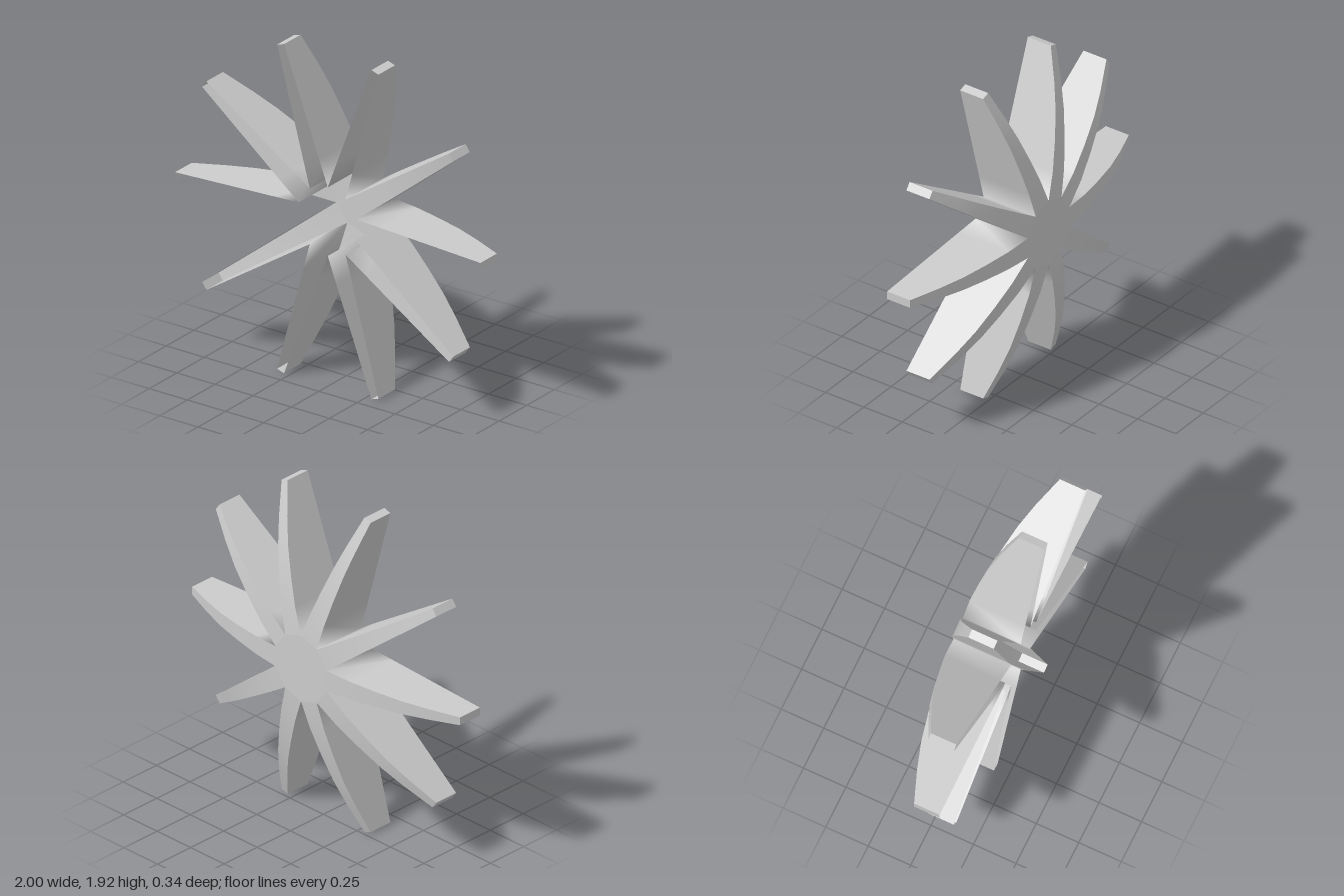
import * as THREE from 'three';

const SPOKES = 10, STEP = (Math.PI * 2) / SPOKES;
const CENTRE_Y = 0.958, FRONT_Z = 0.17;
// Spoke side profile: radius and depth of the domed back face, hub to tip
const PROFILE = [[0.19, -0.17], [0.35, -0.157], [0.51, -0.13], [0.67, -0.095], [0.82, -0.048], [1, 0.02]];
const ROOT = PROFILE[0][0], HALF_ROOT = ROOT * Math.tan(STEP / 2), HALF_TIP = 0.024;

const halfWidth = (r) => HALF_ROOT + ((HALF_TIP - HALF_ROOT) * (r - ROOT)) / (1 - ROOT);

// Point on spoke k at radius r, on its left (+1) or right (-1) edge
function edgePoint(k, r, side, z) {
  const a = k * STEP, h = side * halfWidth(r);
  return [r * Math.cos(a) - h * Math.sin(a), r * Math.sin(a) + h * Math.cos(a), z];
}

// Ribbon of quads between two rows of points
function ribbon(rowA, rowB) {
  const pos = [], index = [];
  rowA.forEach((p, i) => {
    pos.push(...p, ...rowB[i]);
    if (i > 0) {
      const a = 2 * (i - 1);
      index.push(a, a + 2, a + 3, a, a + 3, a + 1);
    }
  });
  const geo = new THREE.BufferGeometry();
  geo.setAttribute('position', new THREE.Float32BufferAttribute(pos, 3));
  geo.setIndex(index);
  geo.computeVertexNormals();
  return geo;
}

export function createModel() {
  const group = new THREE.Group();
  const material = new THREE.MeshStandardMaterial({ color: 0xcccccc, side: THREE.DoubleSide });
  const add = (name, geo) => {
    const mesh = new THREE.Mesh(geo, material);
    mesh.name = name;
    mesh.position.y = CENTRE_Y;
    group.add(mesh);
    return mesh;
  };

  // Flat ten-sided hub at the back
  const hub = add('hub', new THREE.CircleGeometry(Math.hypot(ROOT, HALF_ROOT), SPOKES, STEP / 2));
  hub.geometry.scale(1, -1, -1);
  hub.geometry.index.array.reverse();
  hub.geometry.index.array.reverse();
  hub.position.z = PROFILE[0][1];

  const tipZ = PROFILE[PROFILE.length - 1][1];
  for (let k = 0; k < SPOKES; k++) {
    // Curved back of the spoke
    add('spokeBack', ribbon(
      PROFILE.map(([r, z]) => edgePoint(k, r, 1, z)),
      PROFILE.map(([r, z]) => edgePoint(k, r, -1, z))));

    // Cap closing the spoke tip
    add('spokeTip', ribbon(
      [edgePoint(k, 1, 1, tipZ), edgePoint(k, 1, 1, FRONT_Z)],
      [edgePoint(k, 1, -1, tipZ), edgePoint(k, 1, -1, FRONT_Z)]));

    // Side walls: in along this spoke to the notch, out along the next;
    // the two level spokes are open underneath
    const row = [];
    if (k !== 5) [...PROFILE].reverse().forEach(([r, z]) => row.push(edgePoint(k, r, 1, z)));
    if (k !== 9) {
      PROFILE.slice(k === 5 ? 0 : 1).forEach(([r, z]) => row.push(edgePoint(k + 1, r, -1, z)));
    }
    add('spokeWalls', ribbon(row, row.map(([x, y]) => [x, y, FRONT_Z])));
  }
  return group;
}
